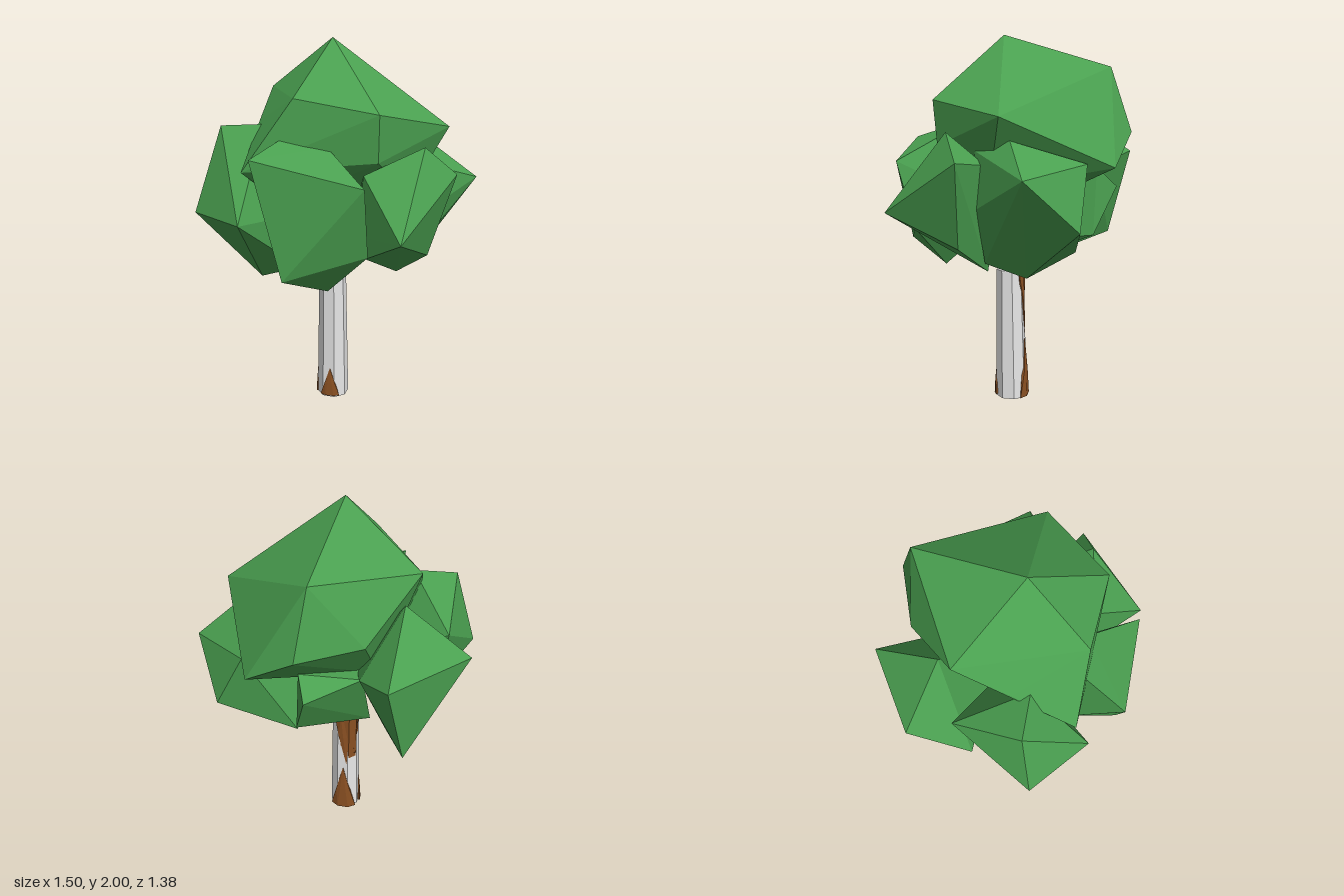
import * as THREE from 'three';
import { ConvexGeometry } from 'three/addons/geometries/ConvexGeometry.js';

const leaf = new THREE.MeshStandardMaterial({ color: 0x4aa050, flatShading: true });
leaf.name = 'leaf green';
const bark = new THREE.MeshStandardMaterial({ color: 0xe6e6e6, flatShading: true });
bark.name = 'pale bark';
const wood = new THREE.MeshStandardMaterial({ color: 0x8a5022, flatShading: true });
wood.name = 'brown wood';

// Faceted solid around a handful of corner points
function hull(name, points, material) {
  const geo = new ConvexGeometry(points.map((p) => new THREE.Vector3(...p)));
  const mesh = new THREE.Mesh(geo, material);
  mesh.name = name;
  return mesh;
}

// Tapered, slightly leaning post: bottom and top are [x, y, z, radius]
function post(name, bottom, top, sides, material) {
  const points = [];
  for (const [x, y, z, r] of [bottom, top]) {
    for (let i = 0; i < sides; i++) {
      const a = (i / sides) * Math.PI * 2;
      points.push([x + r * Math.sin(a), y, z + r * Math.cos(a)]);
    }
  }
  return hull(name, points, material);
}

// Bare wood wedge lying on the bark, pointing from y0 towards y1
function wedge(angle, half, y0, y1, lift) {
  const at = (a, y, out) => {
    const t = y / 0.73;
    const r = 0.086 - 0.014 * t + out;
    return [-0.018 + r * Math.sin(a), y, 0.01 + 0.01 * t + r * Math.cos(a)];
  };
  const points = [at(angle, y0, -0.04), at(angle, y1, -0.01), at(angle, y1, 0.001)];
  for (const s of [-1, -0.4, 0.4, 1]) {
    points.push(at(angle + s * half, y0, lift));
    points.push(at(angle + s * half * 0.55, y0 + (y1 - y0) * 0.45, lift * 0.7));
  }
  return hull('bareWood', points, wood);
}

const foliage = {
  crown: [
    [-0.02, 2, 0.05], [0.22, 1.82, -0.47], [-0.33, 1.74, -0.28], [-0.23, 1.72, 0.33],
    [0.17, 1.65, 0.44], [0.57, 1.56, 0.16], [0.3, 1.49, -0.56], [0.52, 1.32, -0.41],
    [-0.4, 1.58, -0.02], [-0.49, 1.36, 0.29], [-0.41, 1.28, 0.22], [-0.03, 1.5, -0.5],
    [0.17, 1.42, 0.42], [0.36, 1.21, 0.18], [0.2, 1.12, -0.1], [-0.25, 1.2, 0.2],
    [-0.15, 1.15, -0.22],
  ],
  rightCluster: [
    [-0.6, 1.56, 0.03], [-0.75, 1.11, 0.07], [-0.51, 1.11, 0.375], [-0.48, 1.4, -0.3],
    [-0.41, 0.73, 0.03], [-0.38, 1.57, 0.07], [-0.4, 1.25, -0.24], [-0.05, 1.1, 0],
    [-0.45, 1.0, -0.2], [-0.2, 0.8, 0.1],
  ],
  backCluster: [
    [-0.24, 1.62, -0.35], [-0.1, 1.38, -0.69], [-0.53, 1.41, -0.51], [-0.55, 1.09, -0.22],
    [-0.21, 0.9, -0.6], [-0.2, 0.77, -0.23], [-0.01, 1.3, -0.47], [-0.05, 1.15, -0.1],
  ],
  leftCluster: [
    [0.75, 1.28, 0.08], [0.68, 1.03, -0.2], [0.41, 0.77, 0], [0.53, 1.34, -0.27],
    [0.52, 1.45, 0.1], [0.37, 1.4, 0.25], [0.28, 0.87, -0.28], [0.35, 0.84, 0.2],
    [0.42, 1.12, 0.25], [0.1, 1.1, 0], [0.25, 1.4, -0.12],
  ],
  frontLeftCluster: [
    [0.57, 1.35, 0.36], [0.4, 1.49, 0.39], [0.24, 1.09, 0.69], [0.44, 0.93, 0.34],
    [0.31, 0.79, 0.18], [0.11, 0.95, 0.44], [0.1, 1.36, 0.41], [0.08, 1.05, 0.38],
    [0.1, 1.15, 0.1], [0.4, 1.33, 0.2],
  ],
  frontCluster: [
    [0.08, 1.34, 0.63], [-0.44, 1.46, 0.51], [-0.3, 0.88, 0.55], [0.11, 0.99, 0.54],
    [-0.07, 0.76, 0.37], [-0.28, 1.53, 0.3], [-0.07, 1.49, 0.35], [-0.35, 1.05, 0.25],
    [0, 1.05, 0.05],
  ],
  // Wraps the top of the trunk
  smallBackCluster: [
    [0.26, 1.21, -0.5], [0.27, 1.31, -0.39], [-0.04, 1.25, -0.4], [0.11, 0.8, -0.02],
    [0.05, 0.79, 0.08], [-0.1, 0.83, 0.1], [-0.12, 0.83, -0.2], [0.29, 0.96, -0.37],
    [0.22, 0.93, -0.15], [0.18, 0.92, 0.05], [0, 1.25, 0],
  ],
};

export function createModel() {
  const tree = new THREE.Group();
  tree.name = 'tree';

  // Trunk: pale bark sleeve over a brown core
  const trunk = new THREE.Group();
  trunk.name = 'trunk';
  trunk.add(post('barkSleeve', [-0.018, 0, 0.01, 0.089], [-0.02, 0.73, 0.02, 0.075], 8, bark));
  trunk.add(post('woodCore', [-0.02, 0.05, 0.01, 0.07], [-0.03, 1.0, -0.01, 0.06], 8, wood));

  // Bare patches at the foot and down the back
  trunk.add(wedge(-0.3, 0.6, 0.012, 0.18, 0.012));
  trunk.add(wedge(2.8, 0.85, 0.005, 0.33, 0.014));
  trunk.add(wedge(4.5, 0.35, 0.005, 0.2, 0.01));
  trunk.add(wedge(3.05, 1.0, 0.74, 0.36, 0.009));
  trunk.add(wedge(3.75, 0.5, 0.74, 0.42, 0.007));
  tree.add(trunk);

  // Leaf clusters
  for (const [name, points] of Object.entries(foliage)) tree.add(hull(name, points, leaf));
  return tree;
}
